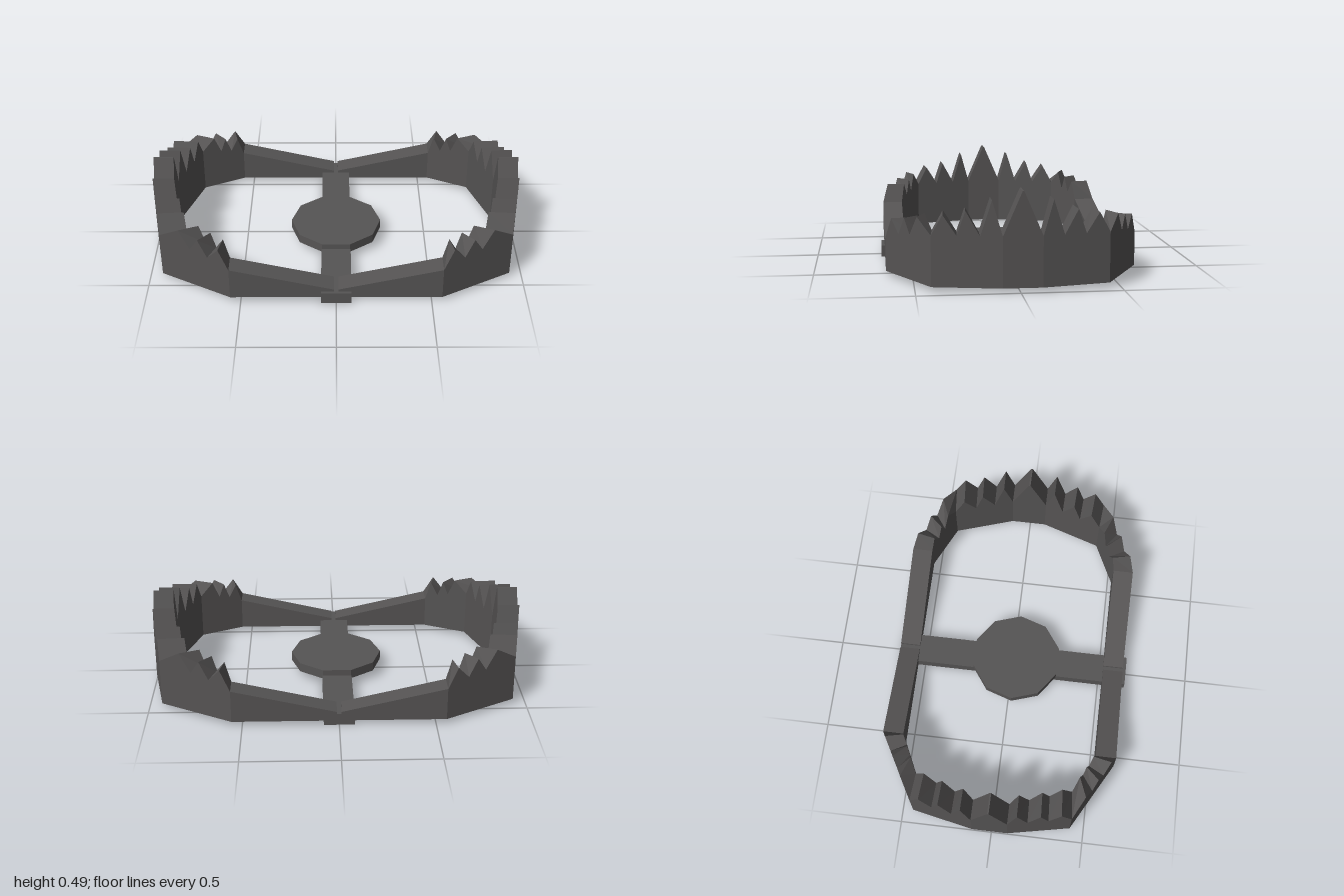
import * as THREE from 'three';

const material = new THREE.MeshStandardMaterial({ color: 0x565454, flatShading: true });

// Plan corners of half a jaw: outer x, outer z, inner x, inner z
const corners = [
  [0.012, 0.642, 0.012, 0.53],
  [0.555, 0.642, 0.555, 0.53],
  [0.932, 0.433, 0.785, 0.42],
  [1.0, 0.097, 0.89, 0.097],
  [1.0, 0, 0.89, 0],
];

// Top edge: position along the corners (whole number = corner), height
const topEdge = [
  [0, 0.075], [1, 0.2],
  [1.14, 0.305], [1.3, 0.235], [1.43, 0.325], [1.55, 0.25], [1.71, 0.347], [2, 0.275],
  [2.165, 0.375], [2.36, 0.275], [2.483, 0.395], [2.685, 0.275], [2.85, 0.447], [3, 0.275],
  [3.96, 0.49],
];
const JAW_BOTTOM = 0.025;

function planPoint(s) {
  const i = Math.min(Math.floor(s), corners.length - 2);
  return corners[i].map((v, k) => v + (corners[i + 1][k] - v) * (s - i));
}

// Toothed bar swept through four-cornered cross-sections
function jawGeometry() {
  const section = ([s, y], side) => {
    const [ox, oz, ix, iz] = planPoint(s);
    return [
      [ox, JAW_BOTTOM, oz * side], [ox, y, oz * side],
      [ix, y, iz * side], [ix, JAW_BOTTOM, iz * side],
    ];
  };
  const sections = [
    ...topEdge.map((p) => section(p, 1)),
    ...[...topEdge].reverse().map((p) => section(p, -1)),
  ];
  const positions = [];
  const quad = (a, b, c, d) => positions.push(...a, ...b, ...c, ...a, ...c, ...d);
  for (let i = 0; i < sections.length - 1; i++) {
    const p = sections[i], q = sections[i + 1];
    for (let k = 0; k < 4; k++) {
      const n = (k + 1) % 4;
      quad(p[k], q[k], q[n], p[n]);
    }
  }
  // End caps at the hinges
  const first = sections[0], last = sections[sections.length - 1];
  quad(...first);
  quad(last[3], last[2], last[1], last[0]);
  const geometry = new THREE.BufferGeometry();
  geometry.setAttribute('position', new THREE.Float32BufferAttribute(positions, 3));
  geometry.computeVertexNormals();
  return geometry;
}

export function createModel() {
  const model = new THREE.Group();
  model.name = 'jawTrap';
  const add = (name, geometry, x, y, z) => {
    const mesh = new THREE.Mesh(geometry, material);
    mesh.name = name;
    mesh.position.set(x, y, z);
    model.add(mesh);
    return mesh;
  };

  // Pair of toothed jaws lying open
  const jaw = jawGeometry();
  add('leftJaw', jaw, 0, 0, -0.009);
  add('rightJaw', jaw, 0, 0, -0.009).rotation.y = Math.PI;

  // Base bar under the hinges
  add('baseBar', new THREE.BoxGeometry(0.16, 0.062, 1.302), 0, 0.031, 0);

  // Ten-sided trigger plate
  const plate = new THREE.CylinderGeometry(0.25, 0.25, 0.05, 10);
  plate.rotateY(Math.PI / 2);
  add('triggerPlate', plate, 0, 0.07, 0.02);

  return model;
}
